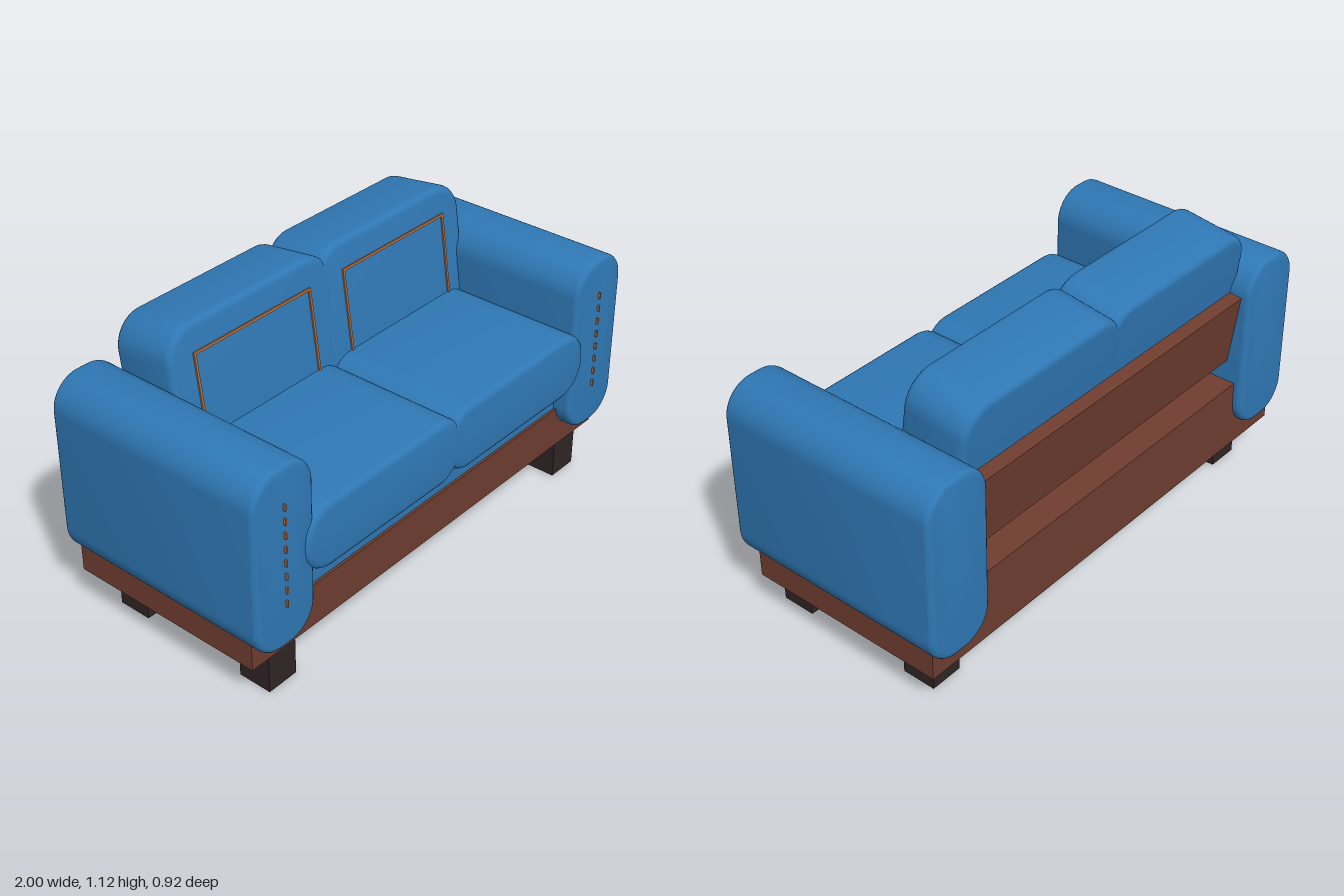
import * as THREE from 'three';
import { toCreasedNormals } from 'three/addons/utils/BufferGeometryUtils.js';

const mat = (name, color) => {
  const m = new THREE.MeshStandardMaterial({ color });
  m.name = name;
  return m;
};

// Rounded rectangle outline, centred on the origin
function roundedRect(w, h, r) {
  const s = new THREE.Shape();
  const x = w / 2, y = h / 2;
  s.moveTo(-x + r, -y);
  s.lineTo(x - r, -y);
  s.absarc(x - r, -y + r, r, -Math.PI / 2, 0);
  s.lineTo(x, y - r);
  s.absarc(x - r, y - r, r, 0, Math.PI / 2);
  s.lineTo(-x + r, y);
  s.absarc(-x + r, y - r, r, Math.PI / 2, Math.PI);
  s.lineTo(-x, -y + r);
  s.absarc(-x + r, -y + r, r, Math.PI, Math.PI * 1.5);
  return s;
}

// Padded block: big rounding in the front outline, soft bevel front and back
function padded(w, h, d, r, bevel) {
  const g = new THREE.ExtrudeGeometry(roundedRect(w - 2 * bevel, h - 2 * bevel, r - bevel), {
    depth: d - 2 * bevel, bevelEnabled: true, bevelSize: bevel, bevelThickness: bevel,
    bevelSegments: 4, curveSegments: 10,
  });
  g.translate(0, 0, -(d - 2 * bevel) / 2);
  return toCreasedNormals(g, 0.6);
}

export function createModel() {
  const sofa = new THREE.Group();
  sofa.name = 'sofa';
  const fabric = mat('blue fabric', 0x2f78b5);
  const wood = mat('brown wood', 0x6f3d2f);
  const dark = mat('dark wood', 0x302525);
  const thread = mat('orange thread', 0xb06a3a);

  const add = (parent, name, geometry, material, x, y, z) => {
    const m = new THREE.Mesh(geometry, material);
    m.name = name;
    m.position.set(x, y, z);
    parent.add(m);
    return m;
  };
  const box = (w, h, d) => new THREE.BoxGeometry(w, h, d);
  const tilt = -8 * Math.PI / 180;

  // Wooden frame
  add(sofa, 'base', box(1.93, 0.17, 0.81), wood, 0, 0.245, -0.02);
  add(sofa, 'rearRail', box(1.46, 0.11, 0.225), wood, 0, 0.385, -0.3125);
  add(sofa, 'backBoard', box(1.46, 0.29, 0.06), wood, 0, 0.675, -0.376).rotation.x = tilt;

  // Upholstered deck under the seat cushions
  add(sofa, 'seatDeck', box(1.46, 0.14, 0.575), fabric, 0, 0.4, 0.0875);

  const armGeo = padded(0.28, 0.71, 0.905, 0.12, 0.02);
  const seatGeo = padded(0.81, 0.26, 0.68, 0.12, 0.025);
  const backGeo = padded(0.795, 0.622, 0.262, 0.12, 0.025);
  const legGeo = box(0.13, 0.17, 0.135);
  const stitchGeo = box(0.006, 0.025, 0.015);

  for (const [side, s] of [['left', 1], ['right', -1]]) {
    add(sofa, side + 'Arm', armGeo, fabric, s * 0.86, 0.585, -0.0075);
    add(sofa, side + 'SeatCushion', seatGeo, fabric, s * 0.365, 0.57, 0.118);

    // Leaning back cushion with a rectangle of piping on its face
    const back = new THREE.Group();
    back.name = side + 'BackCushion';
    back.position.set(s * 0.3625, 0.795, -0.2385);
    back.rotation.x = tilt;
    sofa.add(back);
    add(back, 'cushion', backGeo, fabric, 0, 0, 0);
    const cx = s * 0.0075;
    for (const e of [-1, 1]) {
      add(back, 'sidePiping', box(0.01, 0.4, 0.012), thread, cx + e * 0.28, 0, 0.131);
      add(back, 'crossPiping', box(0.57, 0.01, 0.012), thread, cx, e * 0.2, 0.131);
    }

    // Stitching down the front of the arm
    for (let i = 0; i < 8; i++) {
      add(sofa, side + 'ArmStitch', stitchGeo, thread, s * 0.86, 0.41 + i * 0.0543, 0.4465);
    }

    // Feet
    for (const [end, z] of [['Front', 0.307], ['Rear', -0.273]]) {
      add(sofa, side + end + 'Leg', legGeo, dark, s * 0.813, 0.085, z);
    }
  }
  return sofa;
}
